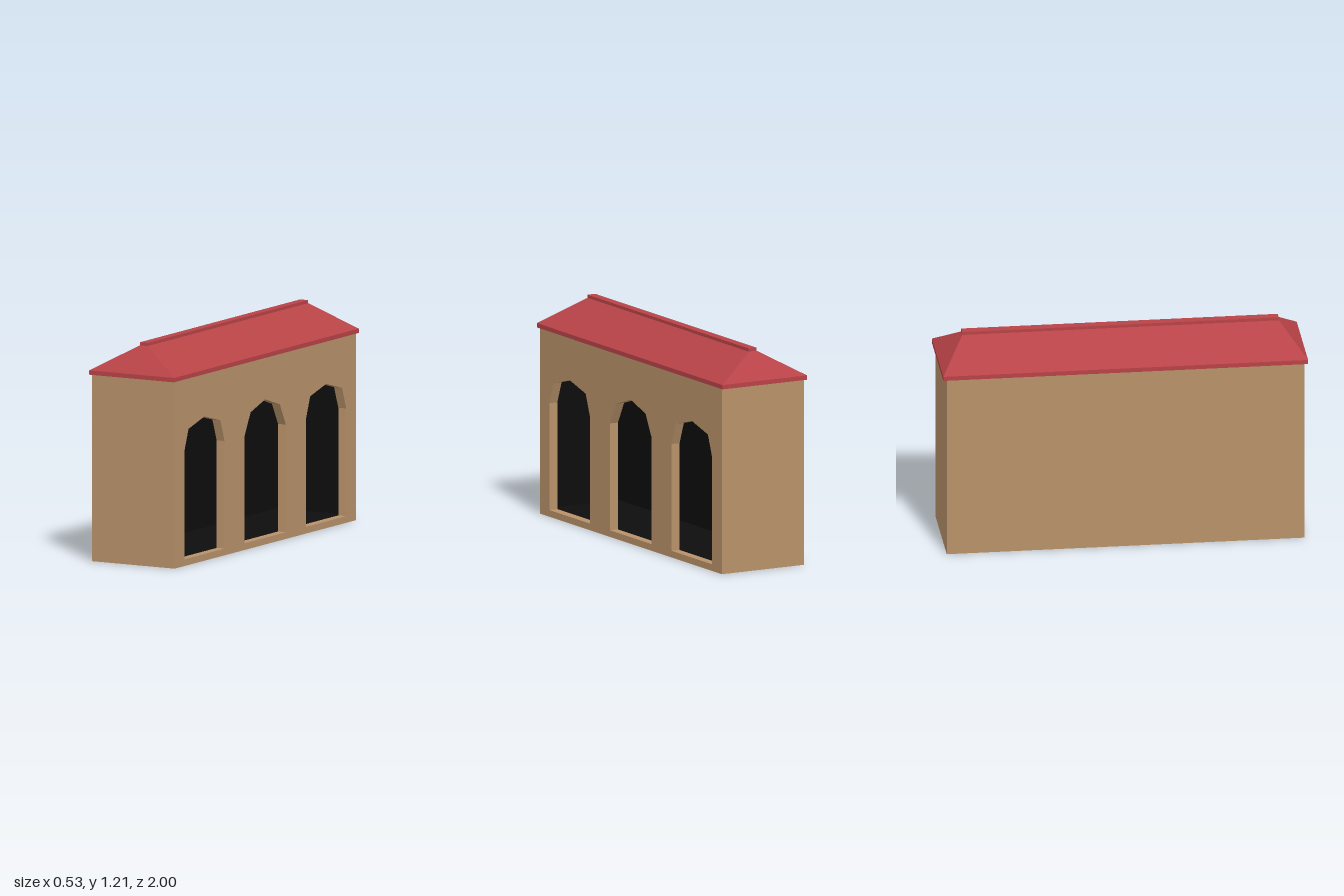
import * as THREE from 'three';

const wallMat = new THREE.MeshStandardMaterial({ color: 0xb8926a });
const roofMat = new THREE.MeshStandardMaterial({ color: 0xb84347 });
const darkMat = new THREE.MeshStandardMaterial({ color: 0x0d0d0d });

const X = 0.26, Z = 0.98, H = 1.03; // half width, half length, wall height
const T = 0.05, SILL = 0.037; // wall thickness, floor level

export function createModel() {
  const group = new THREE.Group();

  function add(name, geometry, material) {
    const mesh = new THREE.Mesh(geometry, material);
    mesh.name = name;
    group.add(mesh);
    return mesh;
  }

  // Box given by its low and high corners
  function box(name, material, x0, x1, y0, y1, z0, z1) {
    const g = new THREE.BoxGeometry(x1 - x0, y1 - y0, z1 - z0);
    g.translate((x0 + x1) / 2, (y0 + y1) / 2, (z0 + z1) / 2);
    return add(name, g, material);
  }

  const polygon = (points) => points.map(([a, b]) => new THREE.Vector2(a, b));

  // Arcade wall with three faceted arches
  const arcade = new THREE.Shape(polygon([[-Z, 0], [Z, 0], [Z, H], [-Z, H]]));
  for (const [c, half, shoulder, apex] of [
    [-0.658, 0.218, 0.172, 0.795], [0, 0.223, 0.158, 0.8], [0.658, 0.218, 0.172, 0.795],
  ]) {
    arcade.holes.push(new THREE.Path(polygon([
      [c - half, SILL], [c - half, 0.63], [c - shoulder, 0.75], [c, apex],
      [c + shoulder, 0.75], [c + half, 0.63], [c + half, SILL],
    ])));
  }
  const arcadeGeo = new THREE.ExtrudeGeometry(arcade, { depth: T, bevelEnabled: false });
  arcadeGeo.rotateY(Math.PI / 2).translate(X - T, 0, 0);
  add('arcadeWall', arcadeGeo, wallMat);

  // Plain back and end walls, U-shaped in plan
  const plan = new THREE.Shape(polygon([
    [X - T, -Z], [X - T, -Z + T], [-X + T, -Z + T], [-X + T, Z - T],
    [X - T, Z - T], [X - T, Z], [-X, Z], [-X, -Z],
  ]));
  const plainGeo = new THREE.ExtrudeGeometry(plan, { depth: H, bevelEnabled: false });
  plainGeo.rotateX(-Math.PI / 2);
  add('plainWalls', plainGeo, wallMat);

  // Base slab between the walls
  const xi = X - T, zi = Z - T, e = 0.004;
  box('base', wallMat, -xi, xi, 0, SILL - e, -zi, zi);

  // Dark lining of the hollow interior
  box('interiorFloor', darkMat, -xi, xi, SILL - e, SILL, -zi, zi);
  box('interiorCeiling', darkMat, -xi, xi, H - 0.02, H, -zi, zi);
  box('interiorBack', darkMat, -xi, -xi + e, SILL, H - 0.02, -zi, zi);
  for (const s of [-1, 1]) {
    const a = s * zi, b = s * (zi - e);
    box('interiorEnd', darkMat, -xi, xi, SILL, H - 0.02, Math.min(a, b), Math.max(a, b));
  }

  // Eaves slab
  const ex = 0.267, ez = 1, eaveTop = 1.054, ridgeY = 1.193, rx = 0.025, rz = 0.868;
  box('eaves', roofMat, -ex, ex, H, eaveTop, -ez, ez);

  // Hipped roof: a box whose top corners are drawn in to the ridge
  let hip = new THREE.BoxGeometry(2 * ex, ridgeY - eaveTop, 2 * ez).toNonIndexed();
  hip.translate(0, (ridgeY + eaveTop) / 2, 0);
  const p = hip.attributes.position;
  for (let i = 0; i < p.count; i++) {
    if (p.getY(i) > (ridgeY + eaveTop) / 2) {
      p.setX(i, Math.sign(p.getX(i)) * rx);
      p.setZ(i, Math.sign(p.getZ(i)) * rz);
    }
  }
  hip.computeVertexNormals();
  add('hippedRoof', hip, roofMat);

  // Ridge cap
  box('ridgeCap', roofMat, -rx, rx, 1.19, 1.21, -rz, rz);

  return group;
}
